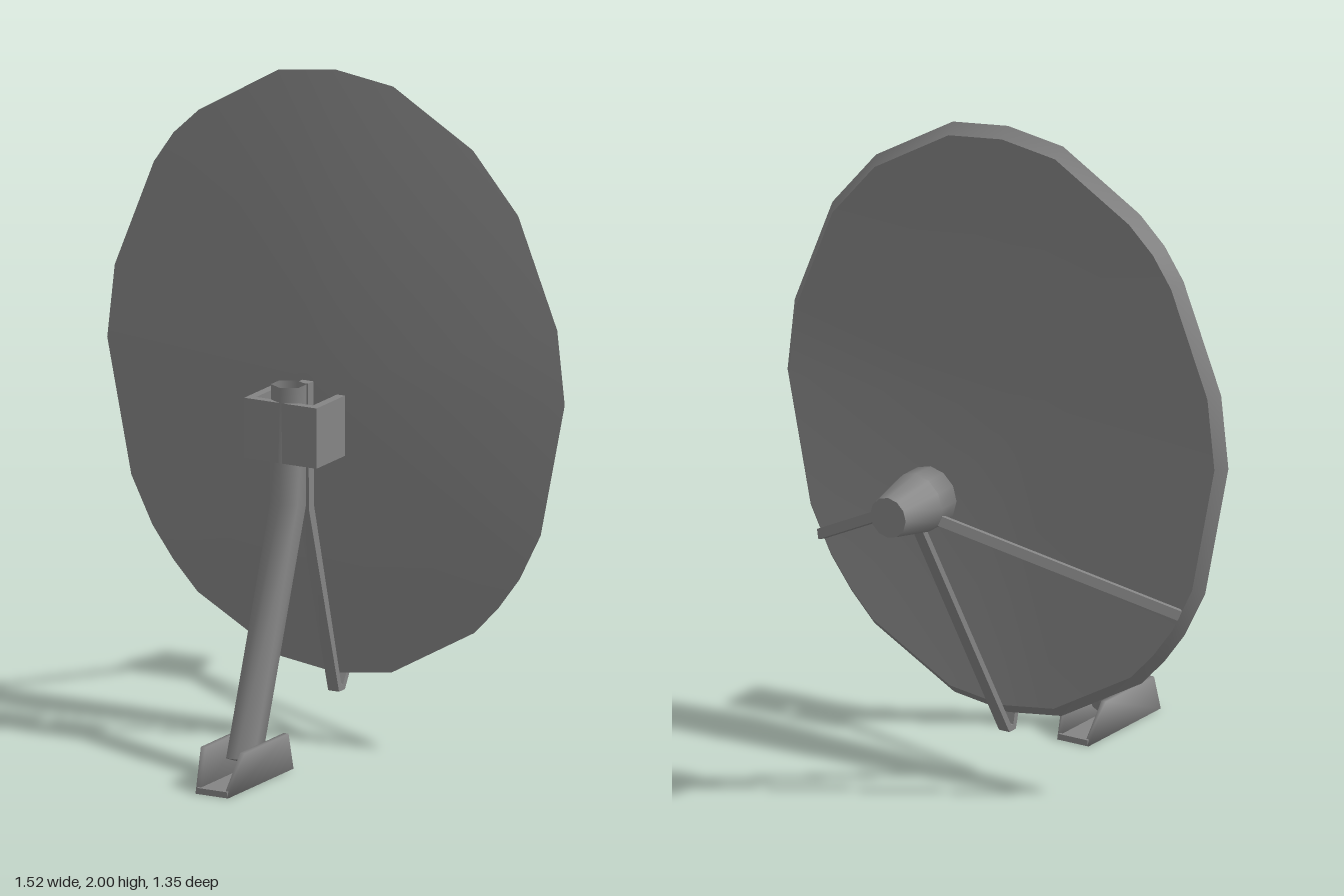
import * as THREE from 'three';
import { toCreasedNormals } from 'three/addons/utils/BufferGeometryUtils.js';

const material = new THREE.MeshStandardMaterial({ color: 0x848484 });
const openMaterial = new THREE.MeshStandardMaterial({ color: 0x848484, side: THREE.DoubleSide });

function add(parent, name, geometry, mat = material) {
  const mesh = new THREE.Mesh(geometry, mat);
  mesh.name = name;
  parent.add(mesh);
  return mesh;
}

// Skin closed rings of points in order; the ends are closed with fans to their centres or to given tips.
function skin(rings, crease, { startTip, endTip, openEnd = false } = {}) {
  const pos = [];
  const tri = (a, b, c) => [a, b, c].forEach((p) => pos.push(p.x, p.y, p.z));
  const centre = (ring) => ring.reduce((s, p) => s.add(p), new THREE.Vector3()).divideScalar(ring.length);
  const n = rings[0].length;
  const first = rings[0], last = rings[rings.length - 1];
  const a = startTip || centre(first), b = endTip || centre(last);
  for (let i = 0; i < n; i++) {
    const j = (i + 1) % n;
    tri(a, first[i], first[j]);
    for (let k = 0; k < rings.length - 1; k++) {
      const r = rings[k], s = rings[k + 1];
      tri(r[i], s[i], r[j]);
      tri(r[j], s[i], s[j]);
    }
    if (!openEnd) tri(b, last[j], last[i]);
  }
  const g = new THREE.BufferGeometry();
  g.setAttribute('position', new THREE.Float32BufferAttribute(pos, 3));
  return toCreasedNormals(g, crease);
}

// Sweep a section [x, n] along a mitred path of [z, y, thickness] in the middle plane.
function sweep(path, section, crease, ends) {
  const pts = path.map(([z, y]) => new THREE.Vector2(z, y));
  const rings = pts.map((p, i) => {
    const d0 = pts[Math.max(i, 1)].clone().sub(pts[Math.max(i, 1) - 1]).normalize();
    const k = Math.min(i + 1, pts.length - 1);
    const d1 = pts[k].clone().sub(pts[k - 1]).normalize();
    const d = d0.clone().add(d1).normalize();
    const m = path[i][2] / d.dot(d0);
    return section.map(([x, n]) => new THREE.Vector3(x, p.y + d.x * n * m, p.x - d.y * n * m));
  });
  return skin(rings, crease, ends);
}

// Square bar between two points
function bar(parent, name, a, b, w, h) {
  const mesh = add(parent, name, new THREE.BoxGeometry(w, h, a.distanceTo(b)));
  mesh.position.copy(a).add(b).multiplyScalar(0.5);
  mesh.lookAt(b);
}

export function createModel() {
  const model = new THREE.Group();
  model.name = 'satelliteDish';

  // Dish: shallow cone, bevelled rim and hollow inner face; the upper left has one corner fewer
  const half = [[0.19, 1.975], [0.455, 1.82], [0.54, 1.74], [0.605, 1.645], [0.735, 1.32], [0.76, 1.1],
    [0.68, 0.7], [0.61, 0.56], [0.54, 0.465], [0.46, 0.38], [0.185, 0.225]];
  const left = half.filter((p, i) => i !== 2).reverse();
  const outline = [[0, 2], ...half.map(([x, y]) => [-x, y]), [0, 0.2], ...left];
  const rim = (s, z) => outline.map(([x, y]) => new THREE.Vector3(x * s, 1.1 + (y - 1.1) * s, z));
  add(model, 'dish', skin([rim(1, -0.045), rim(0.965, -0.078)], 0.6, {
    startTip: new THREE.Vector3(0, 1.08, 0.072),
    endTip: new THREE.Vector3(0, 1.08, 0.045),
  }));

  // Bent hexagonal tube, open at the top
  const hex = [];
  for (let i = 0; i < 6; i++) {
    const t = i * Math.PI / 3;
    hex.push([Math.sin(t) * 0.052, Math.cos(t)]);
  }
  add(model, 'pole', sweep([[0.49, 0.06, 0.05], [0.232, 0.77, 0.05], [0.229, 1.125, 0.05]], hex, 1.1,
    { openEnd: true }), openMaterial);

  // Flat arm passing under the dish to the receiver
  const flat = [[-0.018, 1], [0.018, 1], [0.018, -1], [-0.018, -1]];
  add(model, 'receiverArm', sweep([[-0.52, 0.92, 0.009], [-0.06, 0.157, 0.009], [-0.038, 0.157, 0.009],
    [0.128, 0.735, 0.015], [0.133, 1.11, 0.015]], flat, 0.3));

  // U-shaped bracket, open towards the dish
  const bracket = new THREE.Group();
  bracket.name = 'bracket';
  model.add(bracket);
  add(bracket, 'bracketBack', new THREE.BoxGeometry(0.24, 0.18, 0.025)).position.set(0, 0.99, 0.265);
  for (const s of [-1, 1]) {
    add(bracket, 'bracketSide', new THREE.BoxGeometry(0.026, 0.18, 0.14)).position.set(s * 0.107, 0.99, 0.183);
  }

  // Foot: floor plate with two leaning trapezoid walls, softly shaded
  const foot = new THREE.Group();
  foot.name = 'foot';
  model.add(foot);
  add(foot, 'footFloor', new THREE.BoxGeometry(0.1, 0.018, 0.38)).position.set(0, 0.009, 0.485);
  const side = new THREE.Shape([[-0.675, 0], [-0.295, 0], [-0.358, 0.122], [-0.61, 0.122]]
    .map(([x, y]) => new THREE.Vector2(x, y)));
  for (const s of [-1, 1]) {
    const wall = new THREE.ExtrudeGeometry(side, { depth: 0.016, bevelEnabled: false });
    wall.rotateY(Math.PI / 2);
    wall.translate(s * 0.046 - 0.008, 0, 0);
    const p = wall.attributes.position;
    for (let i = 0; i < p.count; i++) p.setX(i, p.getX(i) + s * p.getY(i) * 0.16);
    add(foot, 'footWall', toCreasedNormals(wall, Math.PI));
  }

  // Receiver: short soft-edged drum and tapered housing
  const receiver = new THREE.Group();
  receiver.name = 'receiver';
  model.add(receiver);
  const profile = [[0, -0.039], [0.09, -0.039], [0.09, 0.039]].map(([r, y]) => new THREE.Vector2(r, y));
  const drum = add(receiver, 'receiverDrum', new THREE.LatheGeometry(profile, 12));
  drum.position.set(0, 0.99, -0.491);
  const horn = add(receiver, 'receiverHousing', new THREE.CylinderGeometry(0.061, 0.09, 0.146, 12));
  horn.position.set(0, 0.99, -0.602);
  drum.rotation.x = horn.rotation.x = -Math.PI / 2;

  // Side struts from the rim to the receiver
  for (const s of [-1, 1]) {
    bar(model, 'sideStrut', new THREE.Vector3(s * 0.618, 0.635, -0.086),
      new THREE.Vector3(s * 0.075, 0.95, -0.518), 0.02, 0.03);
  }
  return model;
}
